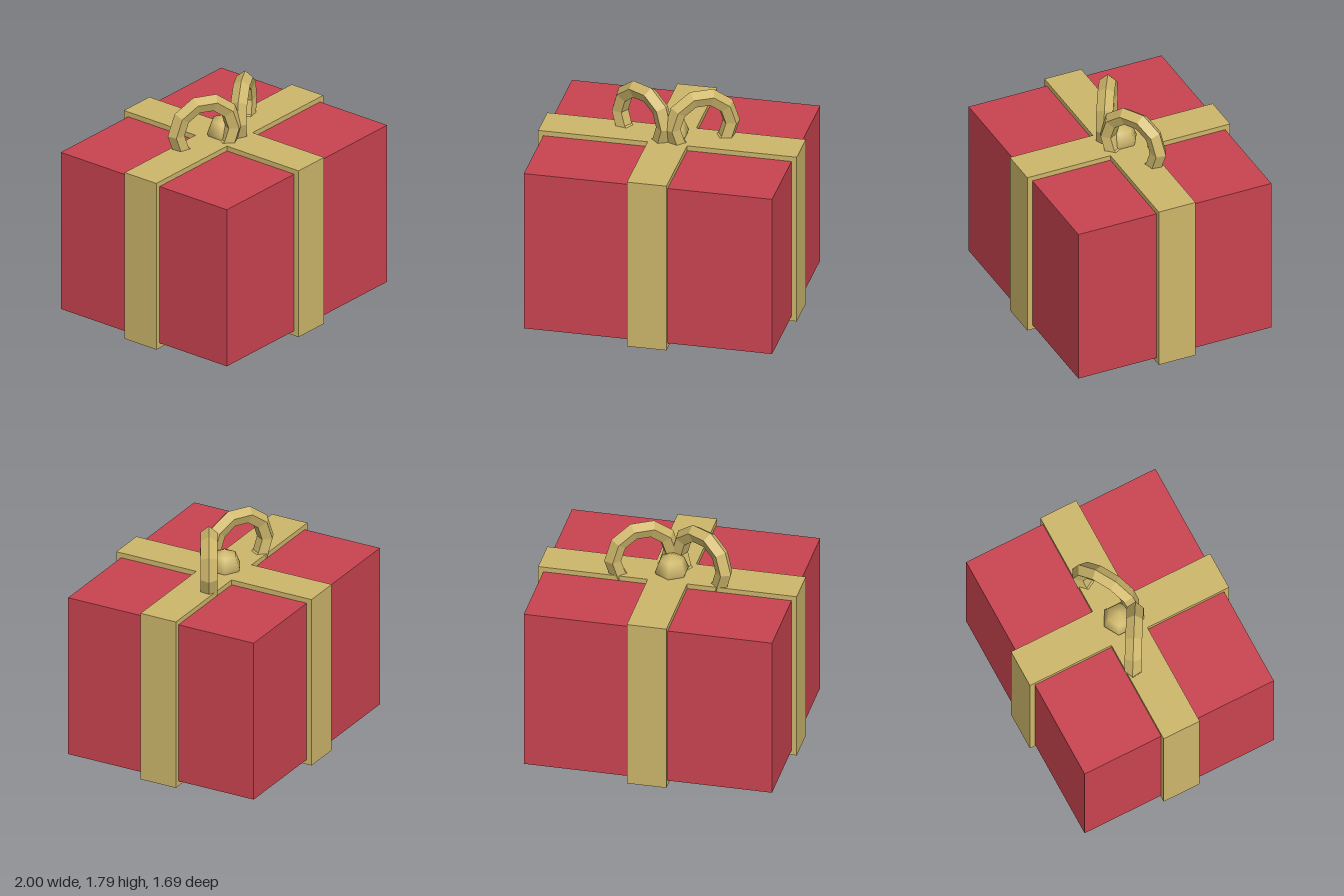
import * as THREE from 'three';

export function createModel() {
  const gift = new THREE.Group();
  gift.name = 'giftBox';
  const red = new THREE.MeshStandardMaterial({ color: 0xca4450, flatShading: true });
  red.name = 'redPaper';
  const gold = new THREE.MeshStandardMaterial({ color: 0xceb76b });
  gold.name = 'goldRibbon';

  const add = (name, geometry, material, x, y, z) => {
    const mesh = new THREE.Mesh(geometry, material);
    mesh.name = name;
    mesh.position.set(x, y, z);
    gift.add(mesh);
    return mesh;
  };

  // Wrapped box
  add('box', new THREE.BoxGeometry(1.92, 1.305, 1.61), red, 0, 0.6925, 0);

  // Ribbon bands: one across, one front to back in two halves
  const top = 1.385, half = 0.153, depth = 0.847;
  add('ribbonAcross', new THREE.BoxGeometry(2, top, half * 2), gold, 0, top / 2, 0);
  for (const s of [1, -1]) {
    const length = depth - half;
    add(s > 0 ? 'ribbonFront' : 'ribbonBack',
      new THREE.BoxGeometry(half * 2, top, length), gold, 0, top / 2, s * (half + length / 2));
  }

  // Bow loops: faceted rings sunk into the ribbon and swept backward
  const ring = new THREE.TorusGeometry(0.233, 0.067, 5, 10).toNonIndexed();
  ring.computeVertexNormals();
  for (const s of [1, -1]) {
    const loop = add(s > 0 ? 'leftBowLoop' : 'rightBowLoop', ring, gold, s * 0.23, 1.5, 0);
    loop.rotation.y = s * Math.PI / 6;
  }

  // Smooth six-sided knot
  const knot = add('bowKnot', new THREE.SphereGeometry(0.133, 6, 4), gold, 0, 1.41, -0.005);
  knot.rotation.y = Math.PI / 6;

  return gift;
}
